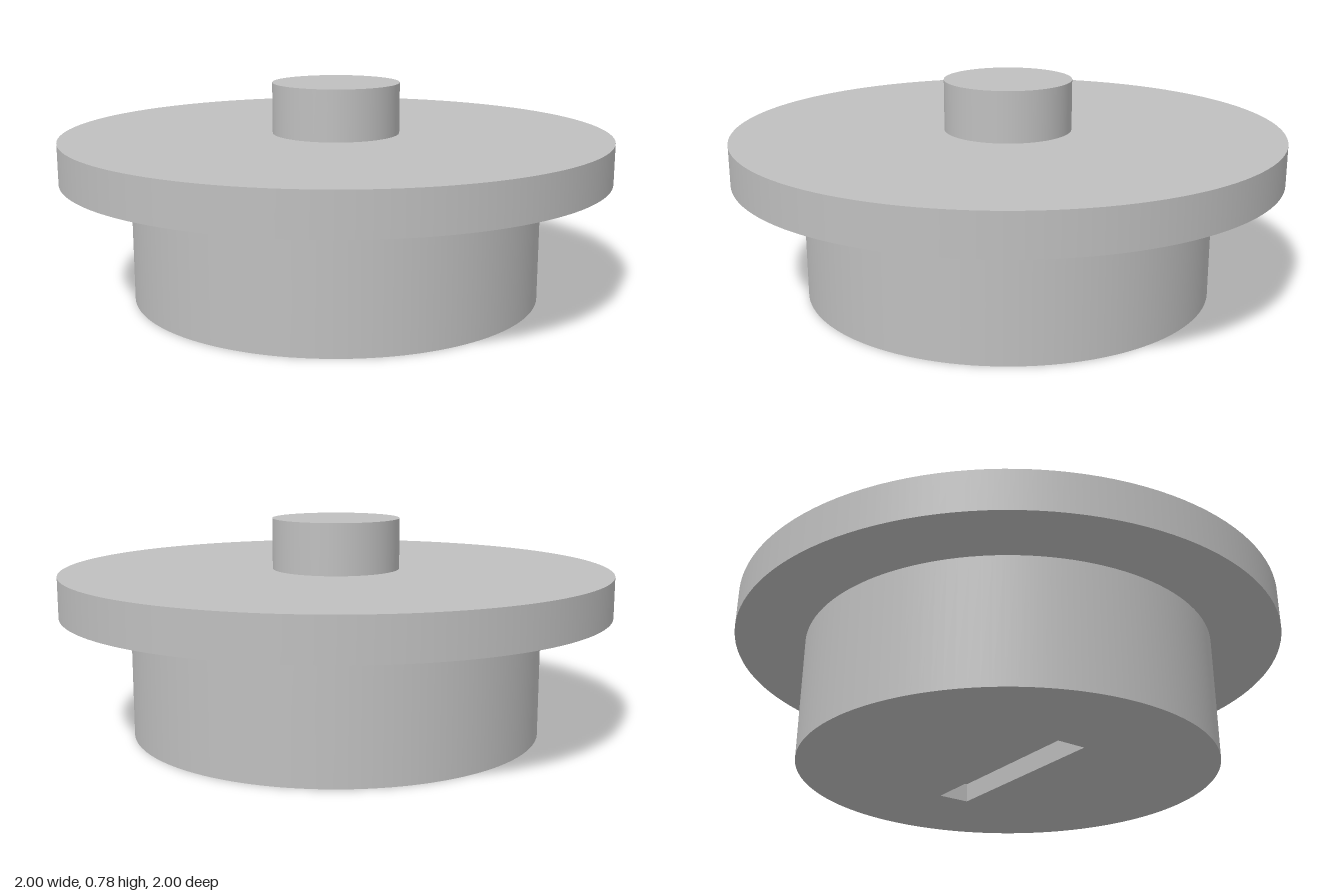
import * as THREE from 'three';

const SEGMENTS = 128;

export function createModel() {
  const model = new THREE.Group();
  model.name = 'flangedPlug';
  const grey = new THREE.MeshStandardMaterial({ color: 0xbfbfbf });
  grey.name = 'grey';

  const add = (name, geometry, y, parent = model) => {
    const mesh = new THREE.Mesh(geometry, grey);
    mesh.name = name;
    mesh.position.y = y;
    parent.add(mesh);
    return mesh;
  };
  const disc = (name, radius, bottom, top, open = false, parent = model) =>
    add(name, new THREE.CylinderGeometry(radius, radius, top - bottom, SEGMENTS, 1, open), (bottom + top) / 2, parent);

  // Wide flange with a small knob on top
  disc('flange', 1, 0.45, 0.595);
  disc('knob', 0.233, 0.595, 0.78);

  // Body: side wall plus an underside pierced by the slot
  const body = new THREE.Group();
  body.name = 'body';
  model.add(body);
  const radius = 0.75, slotWidth = 0.12, slotLength = 0.71, slotDepth = 0.07;
  disc('bodyWall', radius, 0, 0.45, true, body);

  const w = slotWidth / 2, l = slotLength / 2;
  const underside = new THREE.Shape().absarc(0, 0, radius, 0, Math.PI * 2);
  underside.holes.push(new THREE.Path([
    new THREE.Vector2(-w, -l), new THREE.Vector2(-w, l),
    new THREE.Vector2(w, l), new THREE.Vector2(w, -l),
  ]));
  add('underside', new THREE.ShapeGeometry(underside, SEGMENTS).rotateX(Math.PI / 2), 0, body);

  // Slot recess: a box turned inside out, with its lower face left open
  const recess = new THREE.BoxGeometry(slotWidth, slotDepth, slotLength).scale(1, -1, 1);
  const index = Array.from(recess.index.array);
  index.splice(12, 6);
  recess.setIndex(index);
  recess.clearGroups();
  recess.computeVertexNormals();
  add('slot', recess, slotDepth / 2, body);

  return model;
}
